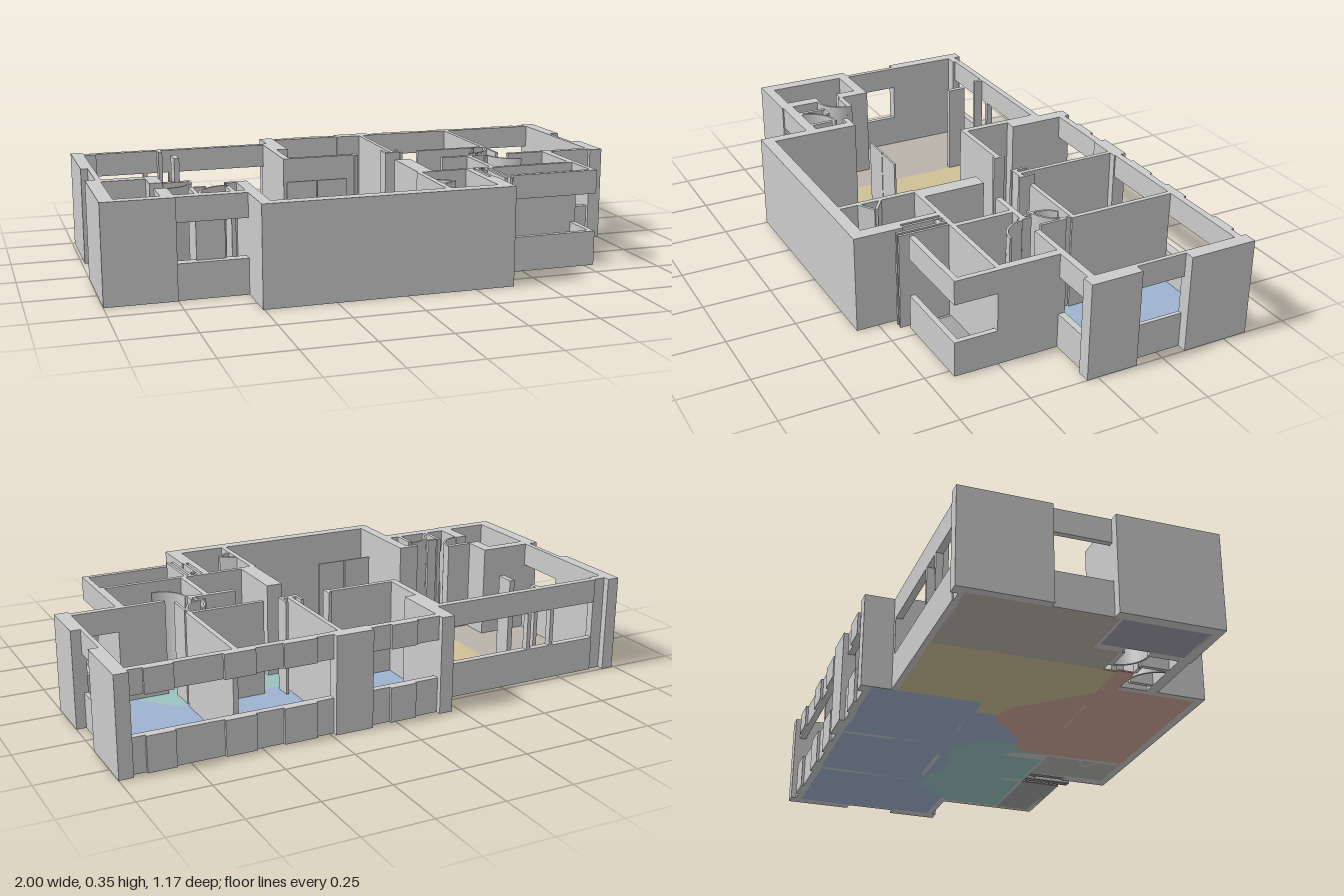
import * as THREE from 'three';

const H = 0.355, SILL = 0.128, HEAD = 0.268, FLOOR = 0.005;
const wallMat = new THREE.MeshStandardMaterial({ color: 0xcccccc });

export function createModel() {
  const model = new THREE.Group();
  const section = (name) => {
    const g = new THREE.Group();
    g.name = name;
    model.add(g);
    return g;
  };

  const box = (parent, name, x0, x1, z0, z1, y0 = 0, y1 = H) => {
    const m = new THREE.Mesh(new THREE.BoxGeometry(x1 - x0, y1 - y0, z1 - z0), wallMat);
    m.position.set((x0 + x1) / 2, (y0 + y1) / 2, (z0 + z1) / 2);
    m.name = name;
    parent.add(m);
  };

  // A window is a sill wall and a header with an opening between them
  const windowWall = (parent, ...r) => {
    box(parent, 'windowSill', ...r, 0, SILL);
    box(parent, 'windowHeader', ...r, HEAD, H);
  };

  // Thin curved wall tracing a door swing, angles in degrees from +x towards +z
  const doorArc = (parent, cx, cz, r, a0, a1) => {
    const s = new THREE.Shape(), t = 0.008, rad = Math.PI / 180;
    s.absarc(cx, cz, r, a0 * rad, a1 * rad, false);
    s.absarc(cx, cz, r - t, a1 * rad, a0 * rad, true);
    const m = new THREE.Mesh(flat(s, H), wallMat);
    m.name = 'doorSwing';
    parent.add(m);
  };

  // Extrude a plan outline (x, z) upwards from the ground
  const flat = (shape, height) =>
    new THREE.ExtrudeGeometry(shape, { depth: height, bevelEnabled: false, curveSegments: 10 })
      .rotateX(Math.PI / 2).translate(0, height, 0);

  // Coloured floors
  const floors = section('floors');
  const floor = (name, color, pts) => {
    const s = new THREE.Shape(pts.map(([x, z]) => new THREE.Vector2(x, z)));
    const m = new THREE.Mesh(flat(s, FLOOR), new THREE.MeshStandardMaterial({ color }));
    m.name = name;
    floors.add(m);
  };
  const rect = (x0, x1, z0, z1) => [[x0, z0], [x1, z0], [x1, z1], [x0, z1]];
  floor('bedroomFloor', 0x9fb3d0, [[-0.22, -0.55], [0.96, -0.55], [0.96, 0], [0.74, 0], [0.62, -0.13],
    [0.51, -0.13], [0.47, -0.09], [0.32, -0.09], [0.3, -0.115], [0.2, -0.115], [0.1, -0.015],
    [0.1, 0.09], [0.05, 0.09], [-0.1, -0.065], [-0.135, -0.065], [-0.135, -0.15], [-0.22, -0.15]]);
  floor('diningFloor', 0xcfc196, [[-0.61, -0.46], [-0.22, -0.46], [-0.22, -0.15], [-0.135, -0.15],
    [-0.135, -0.065], [-0.21, -0.035], [-0.435, 0.195], [-0.61, 0.195]]);
  floor('livingFloor', 0xd0a999, [[-0.62, 0.195], [-0.435, 0.195], [-0.21, -0.035], [-0.135, -0.065],
    [-0.1, -0.065], [0.05, 0.09], [0.1, 0.09], [0.155, 0.14], [0.155, 0.55], [-0.48, 0.55],
    [-0.48, 0.255], [-0.62, 0.255]]);
  floor('bathroomFloor', 0x98c2c0, [[0.1, -0.015], [0.2, -0.115], [0.3, -0.115], [0.32, -0.09],
    [0.47, -0.09], [0.51, -0.13], [0.62, -0.13], [0.74, 0], [0.76, 0.02], [0.76, 0.25],
    [0.155, 0.25], [0.155, 0.14], [0.1, 0.09]]);
  floor('kitchenFloor', 0xb9b3ab, [[-0.96, -0.46], [-0.61, -0.46], [-0.61, 0.145], [-0.75, 0.145],
    [-0.75, 0.05], [-0.96, 0.05]]);
  floor('storeFloor', 0x9f9caa, rect(-0.96, -0.78, 0.06, 0.37));
  floor('utilityFloor', 0xb4b5b0, rect(0.16, 0.35, 0.25, 0.55));
  floor('balconyFloor', 0xa3a3a3, rect(0.455, 0.78, 0.25, 0.405));

  // Solid outer walls and piers
  const outer = section('outerWalls');
  [
    [-0.22, -0.17, -0.59, -0.335], [0.095, 0.235, -0.59, -0.54],
    [0.95, 1, -0.59, -0.34], [0.95, 1, -0.15, 0.04],
    [-0.99, -0.945, -0.5, -0.18], [-0.95, -0.9, -0.475, -0.445],
    [-0.24, -0.215, -0.48, -0.14],
    [-1, -0.95, 0.03, 0.4], [-0.95, -0.75, 0.03, 0.07], [-0.95, -0.75, 0.36, 0.4],
    [-0.795, -0.75, 0.07, 0.15], [-0.795, -0.75, 0.24, 0.36],
    [-0.505, -0.465, 0.205, 0.58], [-0.465, 0.39, 0.535, 0.58],
    [0.15, 0.17, 0.25, 0.54], [0.34, 0.365, 0.25, 0.535],
    [0.755, 0.785, 0.02, 0.25], [0.365, 0.39, 0.4, 0.535],
  ].forEach((r) => box(outer, 'outerWall', ...r));

  // Window walls
  const windows = section('windowWalls');
  [
    [-0.17, 0.095, -0.57, -0.545], [0.235, 0.95, -0.57, -0.545],
    [-0.9, -0.24, -0.48, -0.455], [0.95, 0.965, -0.34, -0.15],
    [-0.965, -0.945, -0.18, 0.03], [-0.75, -0.505, 0.355, 0.395],
    [0.785, 0.95, 0, 0.025],
    [0.455, 0.785, 0.39, 0.41], [0.765, 0.785, 0.25, 0.39],
  ].forEach((r) => windowWall(windows, ...r));
  // Thicker steps along the back windows
  for (const [x0, x1] of [[-0.08, 0.02], [0.3, 0.42], [0.52, 0.63], [0.8, 0.9]])
    windowWall(windows, x0, x1, -0.58, -0.57);
  for (const x of [-0.72, -0.62]) box(windows, 'windowPost', x, x + 0.015, -0.48, -0.455);

  // Inner partitions
  const inner = section('partitions');
  [
    [0.19, 0.207, -0.545, -0.14], [0.57, 0.588, -0.545, -0.14],
    [-0.215, 0.05, -0.16, -0.14], [0.17, 0.23, -0.157, -0.14], [0.3, 0.588, -0.157, -0.14],
    [0.04, 0.052, -0.175, -0.13], [0.165, 0.175, -0.2, -0.135], [0.225, 0.235, -0.2, -0.135],
    [-0.63, -0.61, -0.35, -0.28], [-0.665, -0.65, -0.455, -0.42],
    [0.155, 0.215, 0, 0.25], [0.34, 0.51, 0, 0.02], [0.61, 0.785, 0, 0.02],
    [0.44, 0.46, 0.02, 0.25], [0.155, 0.785, 0.235, 0.253],
    [-0.75, -0.65, 0.14, 0.16], [-0.66, -0.62, 0.25, 0.262], [-0.545, -0.505, 0.205, 0.225],
    [-0.68, -0.665, 0.25, 0.36], [-0.555, -0.54, 0.27, 0.36],
  ].forEach((r) => box(inner, 'partition', ...r));

  // Thin service pipes and shafts beside the utility room
  const shafts = section('serviceShafts');
  [
    [0.375, 0.385, 0.25, 0.4], [0.41, 0.42, 0.25, 0.44], [0.43, 0.44, 0.25, 0.44],
    [0.39, 0.41, 0.27, 0.285],
  ].forEach((r) => box(shafts, 'shaft', ...r));

  // Tall double sliding panel in the living room
  const panels = section('slidingPanels');
  for (const x of [-0.32, -0.208]) box(panels, 'panel', x, x + 0.108, 0.2, 0.207, 0, 0.34);

  // Door swings with their open leaves
  const doors = section('doors');
  doorArc(doors, -0.75, 0.15, 0.1, 0, 90);
  doorArc(doors, -0.545, 0.37, 0.12, 180, 270);
  doorArc(doors, 0.62, 0.02, 0.1, 90, 180);
  doorArc(doors, 0.47, -0.14, 0.11, 0, 90);
  doorArc(doors, 0.585, -0.05, 0.1, 130, 230);
  [
    [0.575, 0.585, -0.12, -0.02], [-0.68, -0.58, 0.36, 0.37], [0.51, 0.52, -0.02, 0.03],
  ].forEach((r) => box(doors, 'doorLeaf', ...r));
  // Folding leaf pair between living and utility rooms
  for (const s of [-1, 1]) {
    const leaf = new THREE.Mesh(new THREE.BoxGeometry(0.07, H, 0.01), wallMat);
    leaf.position.set(0.195, H / 2, 0.425 + s * 0.022);
    leaf.rotation.y = s * 0.6;
    leaf.name = 'foldingLeaf';
    doors.add(leaf);
  }
  return model;
}
